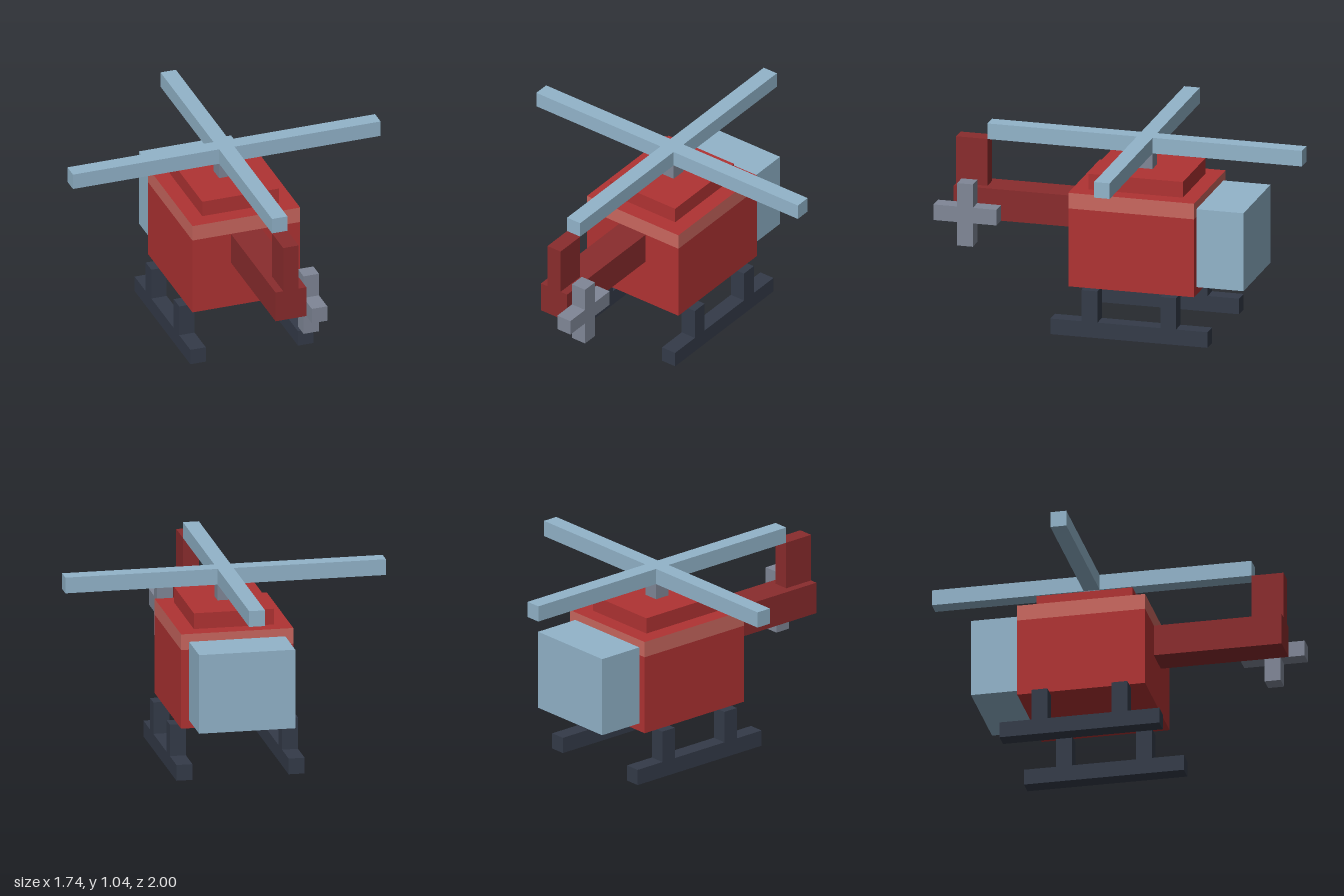
import * as THREE from 'three';

const U = 2 / 23; // block unit

const paint = (name, color) => {
  const m = new THREE.MeshStandardMaterial({ color });
  m.name = name;
  return m;
};

export function createModel() {
  const red = paint('red', 0xb03333);
  const lightRed = paint('light red', 0xca675f);
  const darkRed = paint('dark red', 0x8a2c2d);
  const blue = paint('pale blue', 0x92b4ca);
  const grey = paint('grey', 0x808797);
  const dark = paint('charcoal', 0x343b49);

  const model = new THREE.Group();
  model.name = 'helicopter';

  // Box from its extents in block units
  const block = (name, material, [x0, x1], [y0, y1], [z0, z1], parent = model) => {
    const geo = new THREE.BoxGeometry((x1 - x0) * U, (y1 - y0) * U, (z1 - z0) * U);
    const mesh = new THREE.Mesh(geo, material);
    mesh.position.set((x0 + x1) / 2 * U, (y0 + y1) / 2 * U, (z0 + z1) / 2 * U);
    mesh.name = name;
    parent.add(mesh);
    return mesh;
  };
  const group = (name) => {
    const g = new THREE.Group();
    g.name = name;
    model.add(g);
    return g;
  };

  // Cabin, with a light band on the sides only
  block('cabin', red, [-3.5, 3.5], [3, 8], [-5.5, 2.5]);
  block('cabinBand', [lightRed, lightRed, red, red, lightRed, lightRed], [-3.5, 3.5], [8, 9], [-5.5, 2.5]);
  block('roof', red, [-2.5, 2.5], [9, 10], [-4.5, 1.5]);
  block('cockpitGlass', blue, [-3, 3], [3.5, 8.5], [-8.5, -5.5]);

  // Main rotor: one long blade and two side blades
  block('mast', grey, [-0.5, 0.5], [10, 11], [-2, -1]);
  const rotor = group('mainRotor');
  block('longBlade', blue, [-0.5, 0.5], [11, 12], [-11.5, 8.5], rotor);
  block('rightBlade', blue, [-10, -0.5], [11, 12], [-2, -1], rotor);
  block('leftBlade', blue, [0.5, 10], [11, 12], [-2, -1], rotor);

  // Tail
  block('tailBoom', darkRed, [-1, 1], [6, 8], [2.5, 10.5]);
  block('tailFin', darkRed, [-0.5, 0.5], [8, 11], [8.5, 10.5]);
  const tailRotor = group('tailRotor');
  block('tailBladeAcross', grey, [1, 2], [6, 7], [7.5, 11.5], tailRotor);
  block('tailBladeUpper', grey, [1, 2], [7, 8.5], [9, 10], tailRotor);
  block('tailBladeLower', grey, [1, 2], [4.5, 6], [9, 10], tailRotor);

  // Landing skids with two struts each
  for (const [side, x] of [['left', [3, 4]], ['right', [-4, -3]]]) {
    const gear = group(side + 'LandingGear');
    block('skid', dark, x, [0, 1], [-6.5, 3.5], gear);
    for (const z of [-4.5, 0.5]) block('strut', dark, x, [1, 3], [z, z + 1], gear);
  }
  return model;
}
